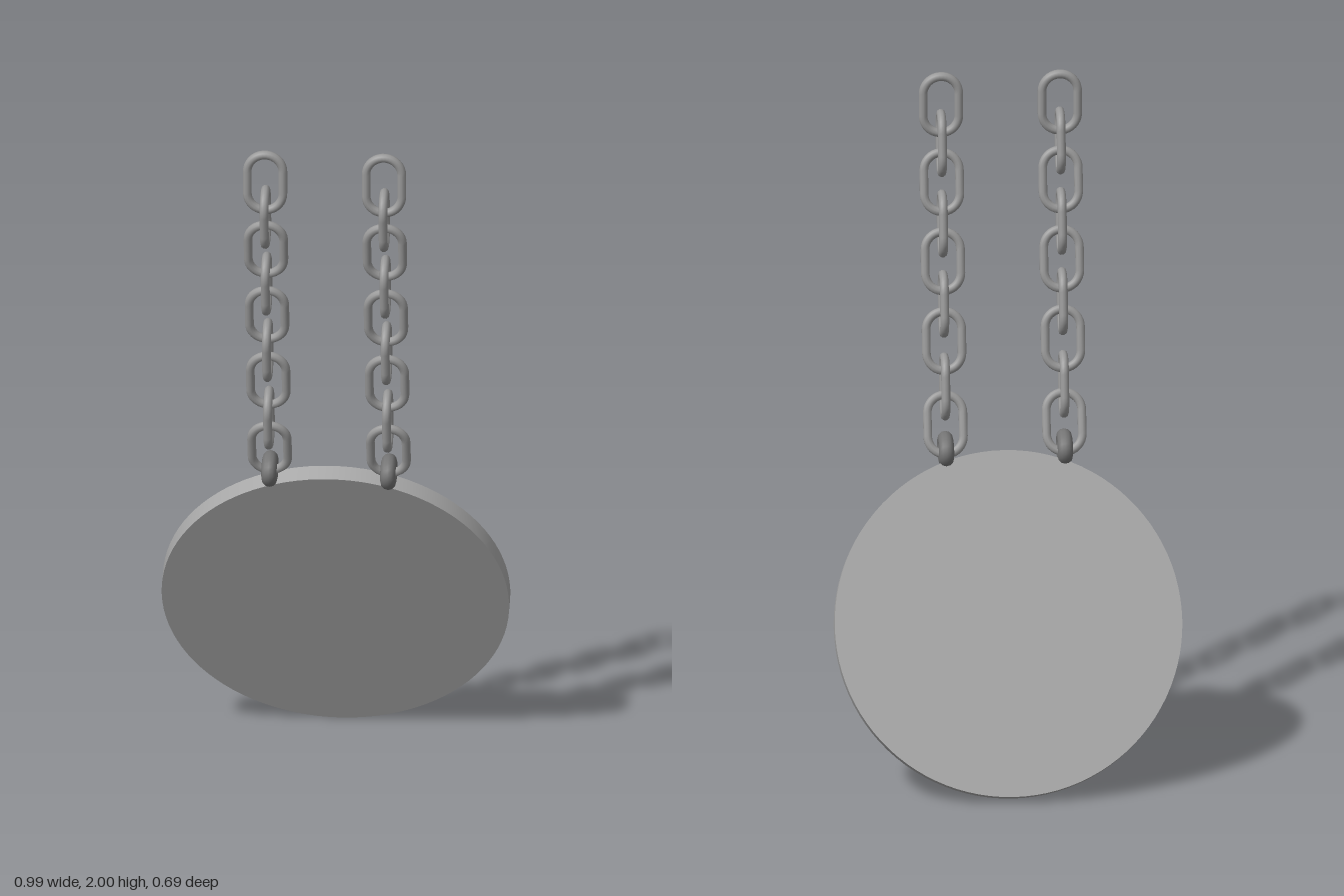
import * as THREE from 'three';

const discGrey = new THREE.MeshStandardMaterial({ color: 0xa6a6a6 });
discGrey.name = 'disc grey';
const chainGrey = new THREE.MeshStandardMaterial({ color: 0x999999 });
chainGrey.name = 'chain grey';
const ringGrey = new THREE.MeshStandardMaterial({ color: 0x757575 });
ringGrey.name = 'ring grey';

// Closed oval path in the xy plane: two half circles joined by straight sides
class LinkCurve extends THREE.Curve {
  constructor(radius, half) {
    super();
    this.radius = radius;
    this.half = half;
  }
  getPoint(t, target = new THREE.Vector3()) {
    const { radius: r, half: h } = this;
    const arc = Math.PI * r, side = 2 * h;
    let d = (((t % 1) + 1) % 1) * 2 * (arc + side);
    let sign = 1;
    if (d >= arc + side) { d -= arc + side; sign = -1; }
    if (d < arc) {
      const a = d / r;
      return target.set(sign * r * Math.cos(a), sign * (h + r * Math.sin(a)), 0);
    }
    return target.set(-sign * r, sign * (h - (d - arc)), 0);
  }
}

// Closed ellipse in the zy plane
class RingCurve extends THREE.Curve {
  getPoint(t, target = new THREE.Vector3()) {
    const a = t * Math.PI * 2;
    return target.set(0, 0.028 * Math.sin(a), 0.043 * Math.cos(a));
  }
}

const linkGeometry = new THREE.TubeGeometry(new LinkCurve(0.051, 0.034), 48, 0.0128, 10, true);
const ringGeometry = new THREE.TubeGeometry(new RingCurve(), 32, 0.022, 12, true);

// Links from top to bottom: y, z, lean; every second one is turned sideways
const LINKS = [
  [1.902, 0.285, 0.0],
  [1.79, 0.273, 0.2],
  [1.68, 0.250, 0.22],
  [1.563, 0.226, 0.2],
  [1.457, 0.202, 0.22],
  [1.337, 0.178, 0.2],
  [1.233, 0.153, 0.22],
  [1.105, 0.126, 0.2],
  [1.0, 0.097, 0.34],
];

function makeChain(x, side) {
  const chain = new THREE.Group();
  chain.name = side + 'Chain';
  chain.position.x = x;
  LINKS.forEach(([y, z, lean], i) => {
    const link = new THREE.Mesh(linkGeometry, chainGrey);
    link.name = side + 'Link' + (i + 1);
    link.position.set(0, y, z);
    link.rotation.set(lean, i % 2 ? Math.PI / 2 : 0, 0);
    chain.add(link);
  });
  // Thick ring that grips the rim of the disc
  const ring = new THREE.Mesh(ringGeometry, ringGrey);
  ring.name = side + 'RimRing';
  ring.position.set(0, 0.93, 0.085);
  chain.add(ring);
  return chain;
}

export function createModel() {
  const model = new THREE.Group();
  model.name = 'hangingDisc';

  // Tilted round plate
  const disc = new THREE.Mesh(new THREE.CylinderGeometry(0.497, 0.497, 0.053, 96), discGrey);
  disc.name = 'disc';
  disc.position.set(0, 0.467, -0.118);
  disc.rotation.x = -1.154;
  model.add(disc);

  model.add(makeChain(0.165, 'left'), makeChain(-0.175, 'right'));
  return model;
}
